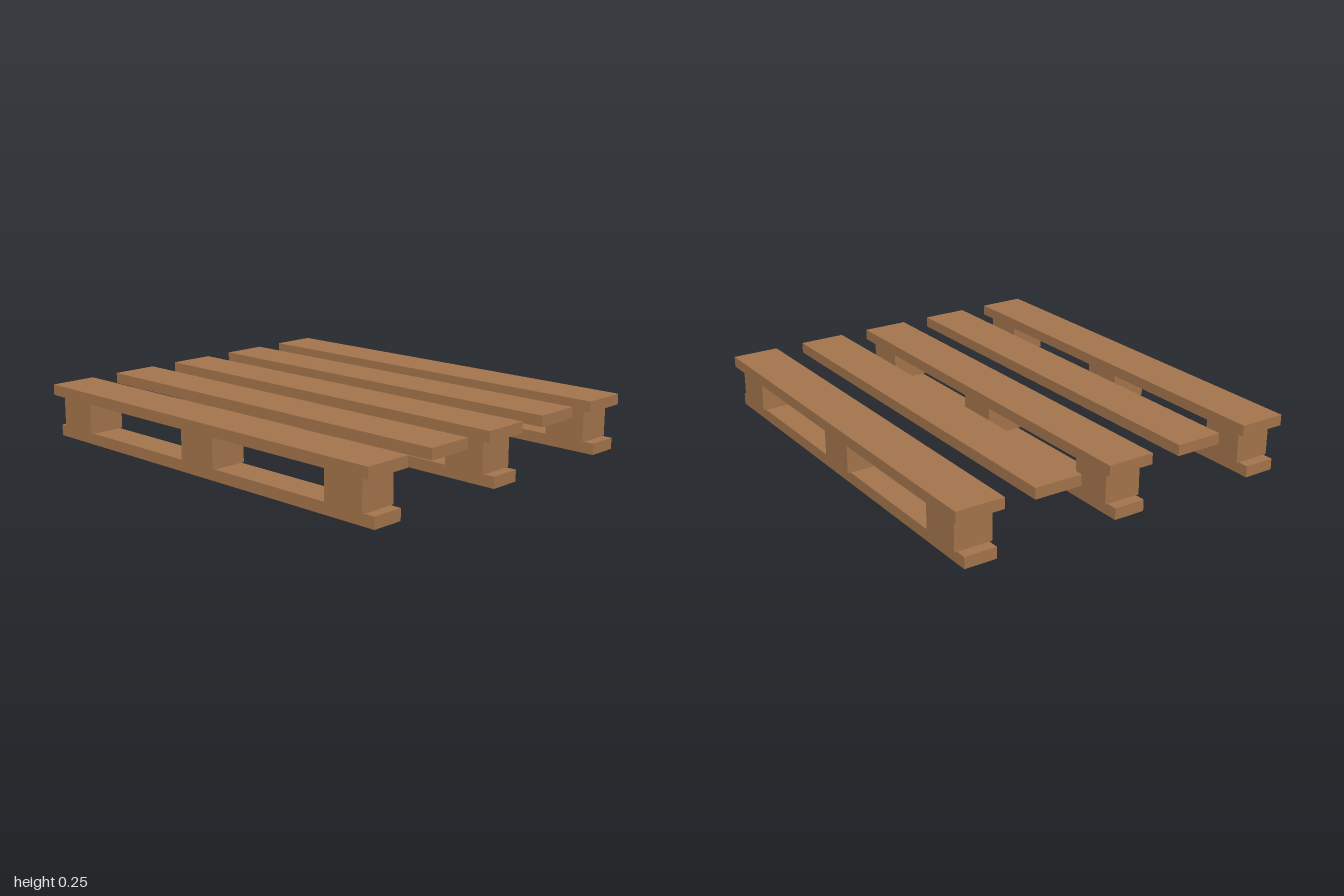
import * as THREE from 'three';

export function createModel() {
  const model = new THREE.Group();
  model.name = 'pallet';
  const wood = new THREE.MeshStandardMaterial({ color: 0xa3744b });
  wood.name = 'wood';

  // Adds a box resting on height `bottom`
  function addBox(name, [w, h, d], x, bottom, z) {
    const mesh = new THREE.Mesh(new THREE.BoxGeometry(w, h, d), wood);
    mesh.name = name;
    mesh.position.set(x, bottom + h / 2, z);
    model.add(mesh);
  }

  const spacing = 0.363;

  // Five deck boards across the top
  for (let i = -2; i <= 2; i++) {
    addBox('deckBoard', [2, 0.05, 0.222], 0, 0.202, i * spacing);
  }

  // Three runners, each carrying three spacer blocks
  for (const row of [-1, 0, 1]) {
    const z = row * spacing * 2;
    addBox('bottomRunner', [2, 0.052, 0.148], 0, 0, z);
    for (const x of [-0.85, 0, 0.85]) {
      addBox('spacerBlock', [0.2, 0.15, 0.175], x, 0.052, z);
    }
  }
  return model;
}
